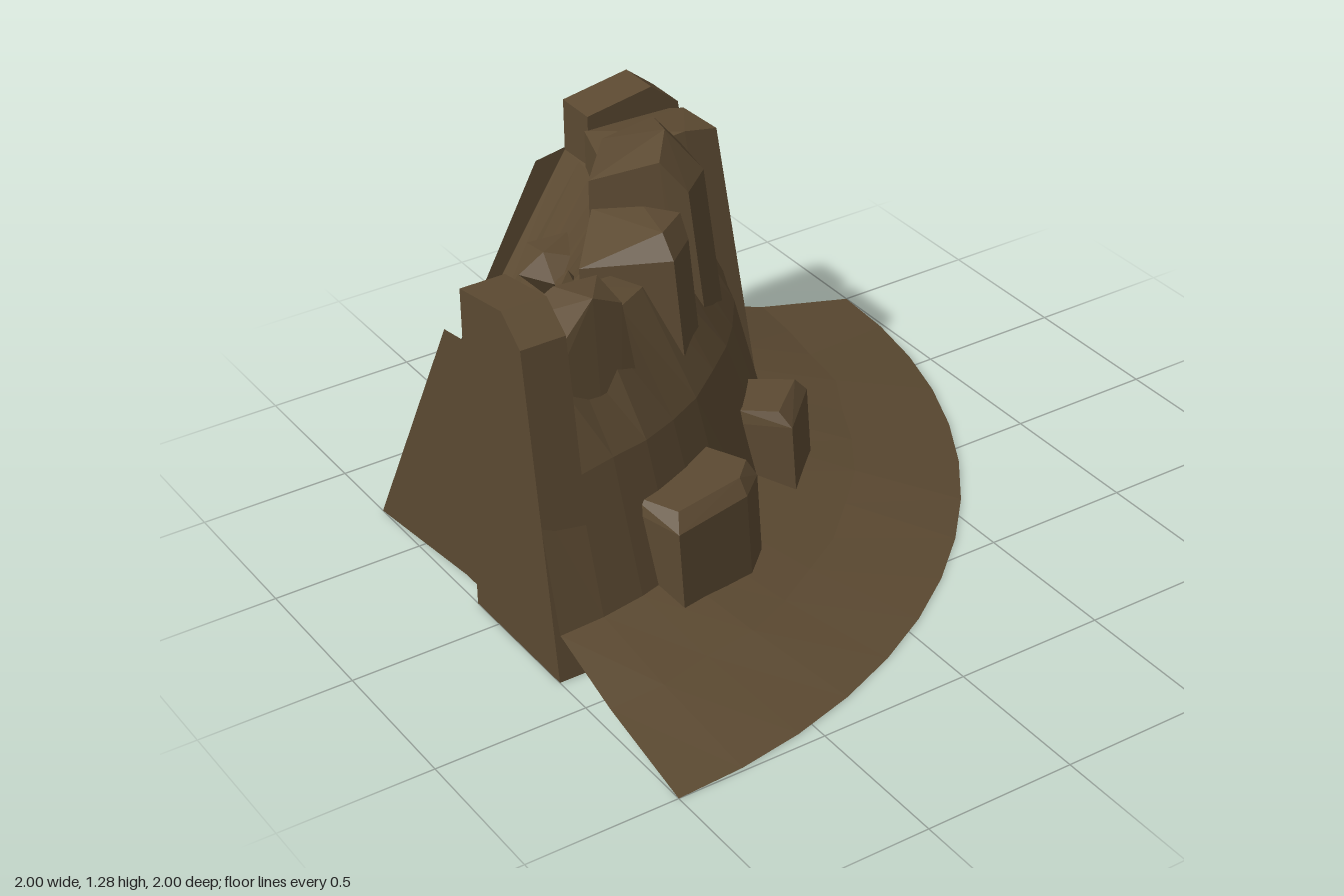
import * as THREE from 'three';
import { ConvexGeometry } from 'three/addons/geometries/ConvexGeometry.js';

const CX = -1, CZ = -1; // centre of the quarter ring
const SEGMENTS = 14;

export function createModel() {
  const group = new THREE.Group();
  group.name = 'cliffCorner';
  const rock = new THREE.MeshStandardMaterial({ color: 0x5c4a32, flatShading: true, side: THREE.DoubleSide });
  rock.name = 'brownRock';

  const add = (name, geometry) => {
    const mesh = new THREE.Mesh(geometry, rock);
    mesh.name = name;
    group.add(mesh);
    return mesh;
  };

  let seed = 7;
  const rand = () => ((seed = (seed * 16807) % 2147483647) / 2147483647) * 2 - 1;

  // Sweeps a profile of [radius, height, radius jitter, height jitter] through the quarter turn
  function sweep(name, profile) {
    const pos = [], index = [], n = profile.length;
    for (let i = 0; i <= SEGMENTS; i++) {
      const a = (i / SEGMENTS) * Math.PI / 2;
      const inner = i > 0 && i < SEGMENTS ? 1 : 0;
      for (const [r, y, jr = 0, jy = 0] of profile) {
        const rr = r + rand() * jr * inner, yy = y + rand() * jy * inner;
        pos.push(CX + Math.cos(a) * rr, yy, CZ + Math.sin(a) * rr);
      }
    }
    for (let i = 0; i < SEGMENTS; i++) {
      for (let j = 0; j < n - 1; j++) {
        const p = i * n + j, q = p + n;
        index.push(p, q, p + 1, p + 1, q, q + 1);
      }
    }
    const g = new THREE.BufferGeometry();
    g.setAttribute('position', new THREE.Float32BufferAttribute(pos, 3));
    g.setIndex(index);
    const flat = g.toNonIndexed();
    flat.computeVertexNormals();
    add(name, flat);
  }

  // Inner slope, cliff wall and ground skirt
  sweep('innerSlope', [[0.26, 0], [0.58, 0.49, 0.01, 0.02], [0.87, 0.93]]);
  sweep('cliffWall', [[0.87, 0.93], [1.0, 0.98, 0.015, 0.015], [1.09, 0.95, 0.015, 0.015],
    [1.26, 0.61, 0.01, 0.015], [1.37, 0.18]]);
  sweep('groundSkirt', [[1.37, 0.18], [1.64, 0.085, 0.02, 0.008], [2, 0]]);

  // Convex rock shell, left open underneath
  function openRock(name, points, bottom) {
    const hull = new ConvexGeometry(points).getAttribute('position');
    const kept = [];
    for (let i = 0; i < hull.count; i += 3) {
      const corners = [i, i + 1, i + 2];
      if (corners.every((k) => hull.getY(k) < bottom + 0.001)) continue;
      corners.forEach((k) => kept.push(hull.getX(k), hull.getY(k), hull.getZ(k)));
    }
    const g = new THREE.BufferGeometry();
    g.setAttribute('position', new THREE.Float32BufferAttribute(kept, 3));
    g.computeVertexNormals();
    add(name, g);
  }

  // Crag from top corners [x, y, z]; outer corners flare by k towards the ground
  function crag(name, top, k) {
    const pts = [];
    for (const [x, y, z] of top) {
      const f = Math.hypot(x - CX, z - CZ) > 1.05 ? k : 1;
      pts.push(new THREE.Vector3(x, y, z), new THREE.Vector3(CX + (x - CX) * f, 0, CZ + (z - CZ) * f));
    }
    openRock(name, pts, 0);
  }

  // End pillars and end faces, mirrored across the diagonal
  const pillar = [[-0.13, 1.11], [-0.04, 1.11], [0.11, 1.15], [0.21, 1.07], [0.355, 0], [-0.13, 0]];
  const face = [[-0.74, 0], [-0.19, 0.07], [-0.12, 0.07], [-0.12, 0.94], [-0.24, 0.92]];
  for (const side of [0, 1]) {
    const at = (u, y, w) => (side ? new THREE.Vector3(w, y, u) : new THREE.Vector3(u, y, w));
    add(side ? 'rightEndPillar' : 'leftEndPillar',
      new ConvexGeometry(pillar.flatMap(([u, y]) => [at(u, y, -1), at(u, y, -0.85)])));
    const g = new THREE.ShapeGeometry(new THREE.Shape(face.map(([u, y]) => new THREE.Vector2(u, y))));
    if (side) g.rotateY(-Math.PI / 2).translate(-1, 0, 0);
    else {
      g.translate(0, 0, -1);
      g.setIndex([...g.index.array].reverse());
    }
    g.computeVertexNormals();
    add(side ? 'rightEndFace' : 'leftEndFace', g);
  }

  // Crags along the rim
  crag('tallCrag', [[-0.4, 1.16, -0.4], [-0.21, 1.15, -0.63], [-0.06, 1.21, -0.57], [-0.15, 1.28, -0.36],
    [-0.24, 1.24, -0.25], [0.0, 1.13, -0.52], [-0.05, 1.14, -0.3], [-0.17, 1.14, -0.2]], 1.11);
  crag('broadCrag', [[-0.14, 1.06, -0.855], [0.17, 1.06, -0.84], [0.2, 1.07, -0.8], [0.155, 1.12, -0.54],
    [0.05, 1.13, -0.56], [-0.21, 1.06, -0.64]], 1.12);
  crag('middleCrag', [[-0.56, 1.0, -0.2], [-0.41, 1.08, -0.37], [-0.3, 1.11, -0.25], [-0.22, 1.1, -0.17],
    [-0.23, 1.04, -0.11], [-0.34, 1.04, -0.02], [-0.34, 1.11, -0.08]], 1.08);
  crag('lowCrag', [[-0.86, 0.98, -0.08], [-0.72, 1.05, -0.08], [-0.57, 1.04, -0.08], [-0.56, 1.0, 0.04],
    [-0.67, 1.06, 0.06], [-0.8, 0.93, 0.12], [-0.87, 0.93, 0.13]], 1.18);

  // Boulders at the foot of the cliff, with a bevelled outer edge
  function boulder(name, rim, inner, topY) {
    const pts = [];
    rim.forEach(([x, z], i) => {
      pts.push(new THREE.Vector3(x, topY - 0.045, z), new THREE.Vector3(x + 0.01, 0.12, z + 0.01));
      pts.push(new THREE.Vector3(inner[i][0], topY, inner[i][1]));
    });
    openRock(name, pts, 0.12);
  }
  boulder('largeBoulder', [[-0.66, 0.2], [-0.31, 0.11], [-0.24, 0.27], [-0.33, 0.35], [-0.61, 0.41]],
    [[-0.65, 0.2], [-0.32, 0.11], [-0.26, 0.24], [-0.33, 0.31], [-0.58, 0.36]], 0.45);
  boulder('smallBoulder', [[-0.1, -0.06], [0.03, -0.21], [0.2, -0.1], [0.03, 0.065]],
    [[-0.09, -0.06], [0.03, -0.2], [0.16, -0.11], [0.01, 0.02]], 0.41);

  // Loose stones on the inner slope
  const stones = [
    [-0.795, 0.73, -0.31, 0.11, 0.07, 0.09, 0.3],
    [-0.475, 0.79, -0.435, 0.085, 0.05, 0.035, 0.8],
    [-0.335, 0.7, -0.73, 0.14, 0.09, 0.125, 0.5],
  ];
  for (const [x, y, z, sx, sy, sz, turn] of stones) {
    const stone = add('slopeStone', new THREE.IcosahedronGeometry(1, 0).scale(sx, sy, sz));
    stone.position.set(x, y, z);
    stone.rotation.y = turn;
  }
  return group;
}
